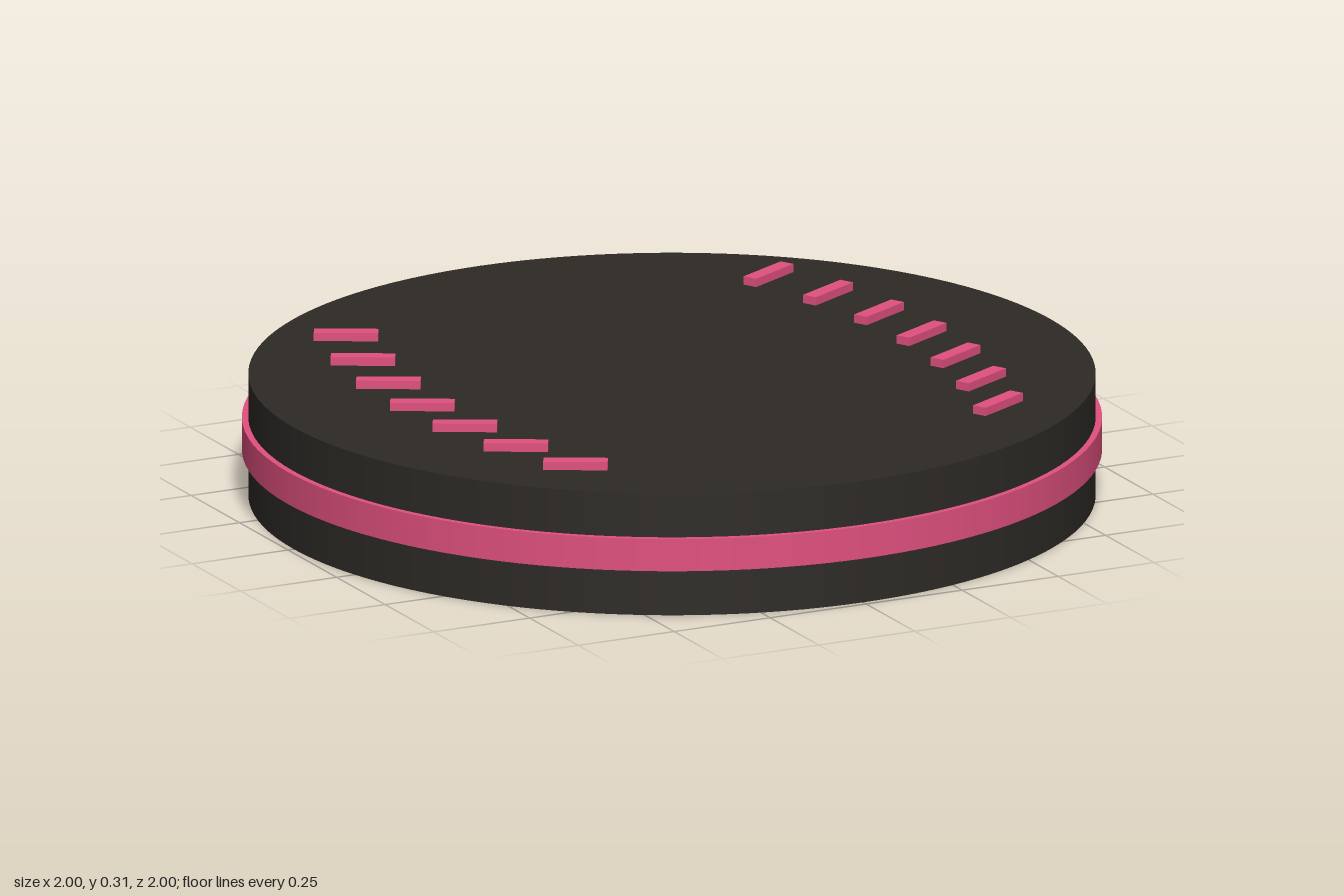
import * as THREE from 'three';

const HEIGHT = 0.295;

export function createModel() {
  const model = new THREE.Group();
  model.name = 'stitchedPuck';

  const dark = new THREE.MeshStandardMaterial({ color: 0x2d2a26 });
  dark.name = 'charcoal';
  const pink = new THREE.MeshStandardMaterial({ color: 0xe0507f });
  pink.name = 'pink';

  // adds a named mesh to a parent
  const add = (parent, name, geometry, material, x, y, z) => {
    const mesh = new THREE.Mesh(geometry, material);
    mesh.name = name;
    mesh.position.set(x, y, z);
    parent.add(mesh);
    return mesh;
  };

  // flat round body
  add(model, 'body', new THREE.CylinderGeometry(0.985, 0.985, HEIGHT, 128), dark, 0, HEIGHT / 2, 0);

  // raised band around the rim
  add(model, 'rimBand', new THREE.CylinderGeometry(1, 1, 0.078, 128), pink, 0, 0.15, 0);

  // two mirrored, curved rows of slanted stitches on top
  const stitch = new THREE.BoxGeometry(0.15, 0.04, 0.036);
  for (const side of [1, -1]) {
    const row = new THREE.Group();
    row.name = side > 0 ? 'leftStitches' : 'rightStitches';
    for (let i = -3; i <= 3; i++) {
      const x = 0.65 - 0.1 * (i / 3) ** 2;
      const mesh = add(row, 'stitch', stitch, pink, side * x, HEIGHT, i * 0.197);
      mesh.rotation.y = side * 0.49;
    }
    model.add(row);
  }

  return model;
}
